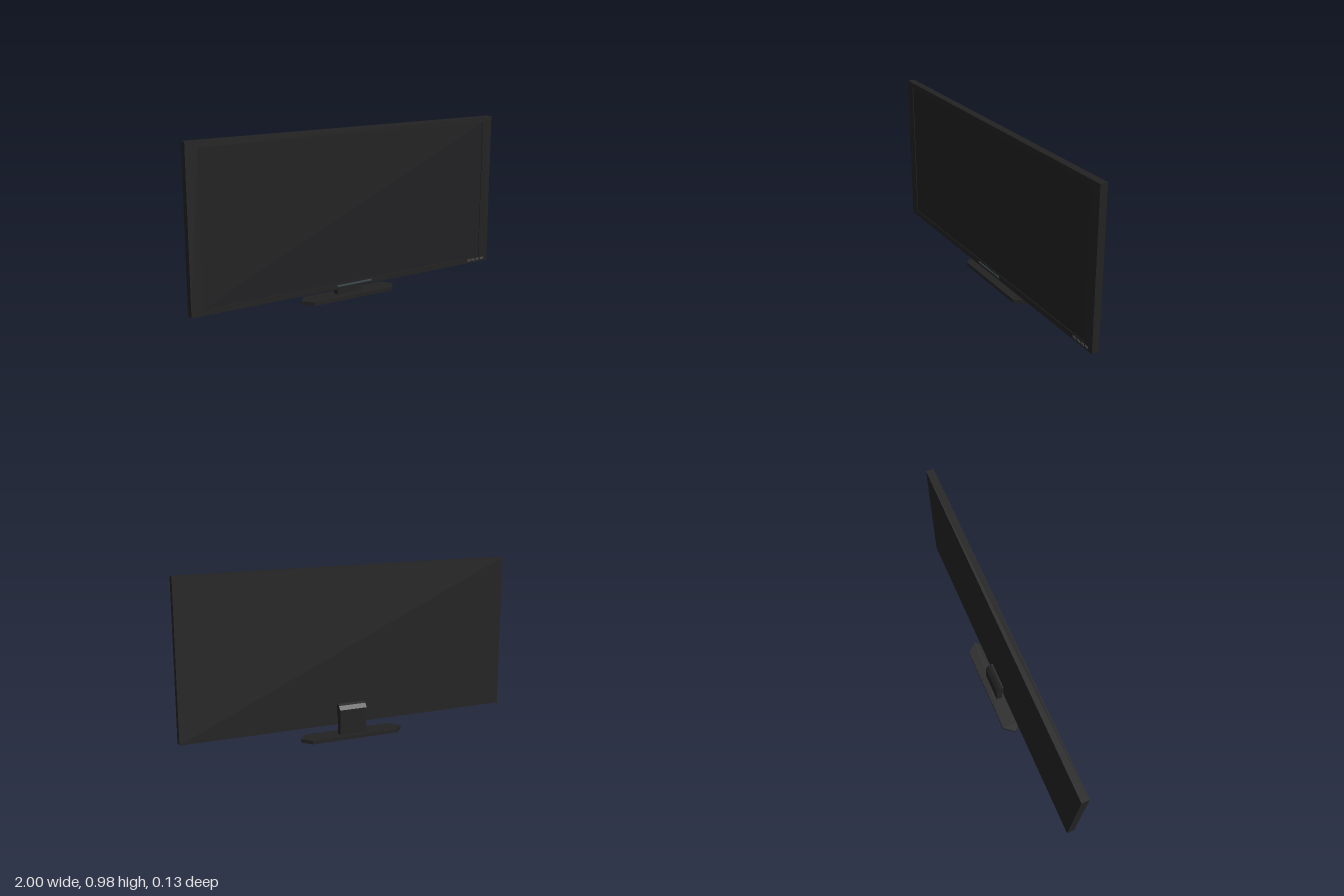
import * as THREE from 'three';

const material = (color) => new THREE.MeshStandardMaterial({ color, flatShading: true });
const dark = material(0x222222);
const screenDark = material(0x202022);
const buttonGrey = material(0x4a4a4a);
const accent = material(0x3c4a4e);

const shapeOf = (points) => new THREE.Shape(points.map(([x, y]) => new THREE.Vector2(x, y)));
const extrude = (shape, depth) => new THREE.ExtrudeGeometry(shape, { depth, bevelEnabled: false });
const rect = (x, y0, y1) => [[-x, y0], [x, y0], [x, y1], [-x, y1]];

export function createModel() {
  const group = new THREE.Group();
  const add = (name, geometry, mat, x = 0, y = 0, z = 0) => {
    const mesh = new THREE.Mesh(geometry, mat);
    mesh.name = name;
    mesh.position.set(x, y, z);
    group.add(mesh);
    return mesh;
  };

  // Rear housing, with the bezel as a frame in front of it
  const back = 0.017, inner = 0.055, front = 0.061;
  add('housing', new THREE.BoxGeometry(2, 0.908, inner - back), dark, 0, 0.526, (back + inner) / 2);
  const frame = shapeOf(rect(1, 0.072, 0.98));
  frame.holes.push(shapeOf(rect(0.933, 0.107, 0.945)));
  add('bezel', extrude(frame, front - inner), dark, 0, 0, inner);

  // Screen, slightly recessed behind the bezel
  add('screen', new THREE.BoxGeometry(1.866, 0.838, 0.002), screenDark, 0, 0.526, inner + 0.001);

  // Accent strip and control buttons on the lower bezel
  add('accentStrip', new THREE.BoxGeometry(0.23, 0.01, 0.006), accent, 0, 0.091, 0.062);
  for (let i = 0; i < 4; i++) {
    add('button', new THREE.BoxGeometry(0.024, 0.012, 0.006), buttonGrey, 0.853 + i * 0.034, 0.091, 0.062);
  }

  // Neck: side profile as (-z, y), swept across the width
  const neck = shapeOf([
    [-0.009, 0.02], [0.027, 0.02], [0.027, 0.165], [0.008, 0.187],
    [-0.009, 0.195], [-0.018, 0.195], [-0.018, 0.121], [-0.009, 0.121],
  ]);
  add('neck', extrude(neck, 0.166), dark, -0.083).rotation.y = Math.PI / 2;

  // Base: flat plate with pointed ends
  const base = shapeOf([
    [-0.265, -0.061], [0.265, -0.061], [0.315, 0.004], [0.265, 0.064],
    [-0.265, 0.064], [-0.315, 0.004],
  ]);
  add('base', extrude(base, 0.02), dark).rotation.x = -Math.PI / 2;

  return group;
}
